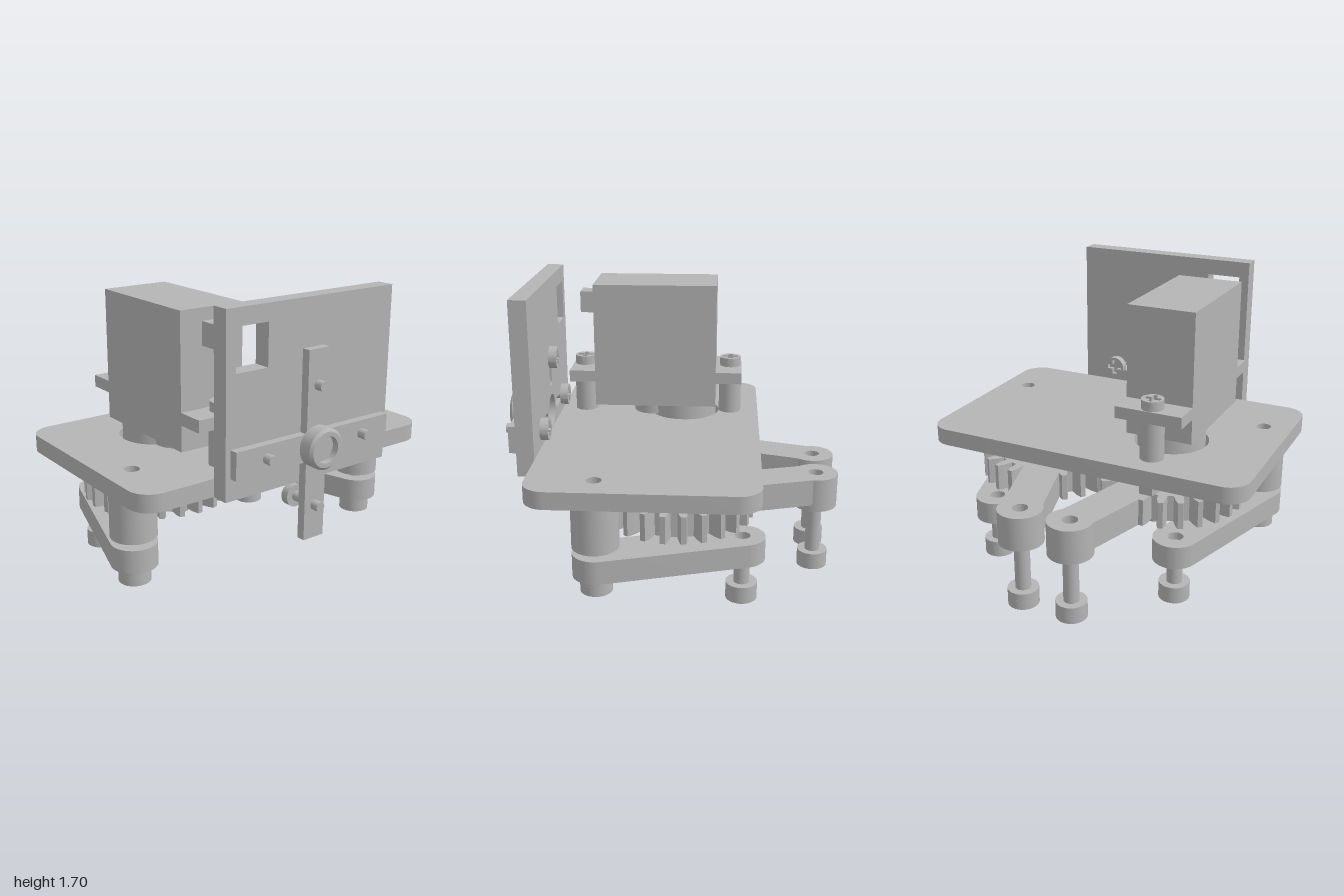
import * as THREE from 'three';
import { toCreasedNormals } from 'three/addons/utils/BufferGeometryUtils.js';

const grey = new THREE.MeshStandardMaterial({ color: 0xb4b4b4 });
grey.name = 'grey plastic';

function mesh(parent, name, geometry, x = 0, y = 0, z = 0) {
  const m = new THREE.Mesh(geometry, grey);
  m.name = name;
  m.position.set(x, y, z);
  parent.add(m);
  return m;
}

// box given by its limits
const box = (p, name, x0, x1, y0, y1, z0, z1) =>
  mesh(p, name, new THREE.BoxGeometry(x1 - x0, y1 - y0, z1 - z0), (x0 + x1) / 2, (y0 + y1) / 2, (z0 + z1) / 2);

const rod = (p, name, r, x, z, y0, y1) =>
  mesh(p, name, new THREE.CylinderGeometry(r, r, y1 - y0, 40), x, (y0 + y1) / 2, z);

const extrude = (shape, depth, crease = 0.5) =>
  toCreasedNormals(new THREE.ExtrudeGeometry(shape, { depth, bevelEnabled: false, curveSegments: 24 }), crease);

// shape drawn in (x, z), standing between two heights
const slab = (p, name, shape, y0, y1, crease) =>
  mesh(p, name, extrude(shape, y1 - y0, crease).rotateX(Math.PI / 2).translate(0, y1, 0));

const circle = (x, y, r) => new THREE.Shape().absarc(x, y, r, 0, Math.PI * 2);

// rounded bar from a to b
function capsule(ax, ay, bx, by, r) {
  const t = Math.atan2(by - ay, bx - ax);
  const s = new THREE.Shape();
  s.absarc(bx, by, r, t - Math.PI / 2, t + Math.PI / 2);
  s.absarc(ax, ay, r, t + Math.PI / 2, t + Math.PI * 1.5);
  s.closePath();
  return s;
}

function polygon(pts) {
  return new THREE.Shape(pts.map(([x, y]) => new THREE.Vector2(x, y)));
}

function withHoles(shape, ...holes) {
  shape.holes.push(...holes);
  return shape;
}

// drive recesses
const hexDrive = (r) => polygon([...Array(6)].map((_, i) => [r * Math.cos(i * Math.PI / 3), r * Math.sin(i * Math.PI / 3)]));
function crossDrive(r) {
  const w = r * 0.3;
  return polygon([[r, -w], [r, w], [w, w], [w, r], [-w, r], [-w, w], [-r, w], [-r, -w], [-w, -w], [-w, -r], [w, -r], [w, -w]]);
}

// screw with its head above the origin and its shank below
function screw(parent, name, r, h, shankR, length, drive, x, y, z) {
  const g = new THREE.Group();
  g.name = name;
  rod(g, 'headBase', r, 0, 0, 0, h * 0.4);
  slab(g, 'headRim', withHoles(circle(0, 0, r), drive), h * 0.4, h);
  if (length) rod(g, 'shank', shankR, 0, 0, -length, 0);
  g.position.set(x, y, z);
  parent.add(g);
  return g;
}

function gearShape(cx, cz, teeth, phase) {
  const pts = [];
  const pitch = Math.PI * 2 / teeth;
  for (let i = 0; i < teeth; i++) {
    for (const [o, r] of [[-0.3, 0.345], [-0.23, 0.4], [-0.13, 0.438], [0.13, 0.438], [0.23, 0.4], [0.3, 0.345]]) {
      const a = phase + (i + o) * pitch;
      pts.push([cx + r * Math.cos(a), cz + r * Math.sin(a)]);
    }
  }
  return polygon(pts);
}

export function createModel() {
  const model = new THREE.Group();
  model.name = 'servoGripper';
  const gx = -0.05, gz = 0.4, px = 0.37, pz = 0.83;

  // base plate
  const plate = new THREE.Shape();
  const c = 0.13, x0 = -0.52, x1 = 0.74;
  plate.absarc(x1 - c, 1 - c, c, 0, Math.PI / 2);
  plate.absarc(x0 + c, 1 - c, c, Math.PI / 2, Math.PI);
  plate.absarc(x0 + c, -1 + c, c, Math.PI, Math.PI * 1.5);
  plate.absarc(x1 - c, -1 + c, c, Math.PI * 1.5, Math.PI * 2);
  plate.closePath();
  withHoles(plate, circle(px, pz, 0.043), circle(px, -pz, 0.043), circle(gx, gz, 0.22));
  slab(model, 'basePlate', plate, 0.7, 0.8);

  // servo motor
  const servo = new THREE.Group();
  servo.name = 'servo';
  model.add(servo);
  box(servo, 'servoBody', -0.25, 0.5, 0.88, 1.64, 0.2, 0.6);
  box(servo, 'cablePlug', 0.5, 0.6, 1.44, 1.57, 0.34, 0.465);
  rod(servo, 'outputBoss', 0.2, gx, gz, 0.7, 0.88);
  rod(servo, 'gearBoss', 0.12, 0.15, gz, 0.8, 0.88);
  rod(servo, 'outputShaft', 0.115, gx, gz, 0.6, 0.7);
  box(servo, 'leftEar', 0.5, 0.66, 1.03, 1.1, 0.2, 0.6);
  box(servo, 'rightEar', -0.41, -0.25, 1.03, 1.1, 0.2, 0.6);
  for (const x of [-0.34, 0.585]) {
    rod(servo, 'servoPost', 0.07, x, gz, 0.8, 1.03);
    screw(servo, 'servoScrew', 0.065, 0.055, 0.03, 0, crossDrive(0.048), x, 1.1, gz);
  }

  // cross-shaped servo horn
  for (let i = 0; i < 4; i++) {
    const arm = slab(model, 'hornArm', polygon([[0, -0.1], [0.37, -0.04], [0.37, 0.04], [0, 0.1]]), 0.6, 0.65);
    arm.position.set(gx, 0, gz);
    arm.rotation.y = i * Math.PI / 2;
  }

  // mirrored fingers, gears and lower links
  for (const s of [1, -1]) {
    const teeth = 24;
    const phase = -s * Math.PI / 2 + (s < 0 ? Math.PI / teeth : 0);
    slab(model, 'gear', gearShape(gx, s * gz, teeth, phase), 0.44, 0.6, 0.2);

    const fx = -0.86, fz = s * 0.155;
    const hole = () => circle(fx, fz, 0.045);
    slab(model, 'fingerArm', withHoles(capsule(fx, fz, -0.29, s * 0.327, 0.115), hole()), 0.44, 0.6);
    slab(model, 'fingerTip', withHoles(circle(fx, fz, 0.13), hole()), 0.4, 0.6);
    screw(model, 'fingerBolt', 0.09, 0.1, 0.045, 0.44, hexDrive(0.045), fx, 0.1, fz).rotation.x = Math.PI;

    const lx = -0.425, lz = s * 0.59;
    slab(model, 'lowerLink', withHoles(capsule(lx, lz, px, s * pz, 0.13), circle(lx, lz, 0.045)), 0.25, 0.385);
    screw(model, 'linkBolt', 0.09, 0.1, 0.045, 0.24, hexDrive(0.045), lx, 0.1, lz).rotation.x = Math.PI;

    rod(model, 'pivotPost', 0.13, px, s * pz, 0.42, 0.7);
    screw(model, 'pivotBolt', 0.09, 0.095, 0.05, 0.2, hexDrive(0.045), px, 0.25, s * pz).rotation.x = Math.PI;
  }

  // screws fixing the driven gear to the horn
  for (const [dx, dz] of [[0, 0], [0.22, 0], [-0.22, 0], [0, 0.22], [0, -0.22]]) {
    screw(model, 'hornScrew', 0.062, 0.05, 0.03, 0, crossDrive(0.045), gx + dx, 0.44, gz + dz).rotation.x = Math.PI;
  }

  // idler gear bearing
  rod(model, 'idlerSpacer', 0.165, gx, -gz, 0.6, 0.7);
  rod(model, 'idlerWasher', 0.13, gx, -gz, 0.4, 0.44);
  screw(model, 'idlerBolt', 0.09, 0.1, 0.045, 0, hexDrive(0.045), gx, 0.4, -gz).rotation.x = Math.PI;

  // upright mounting plate, drawn in (-z, y)
  const cy = 0.905;
  const wall = polygon([[-0.565, 0.7], [0.565, 0.7], [0.565, 1.7], [-0.565, 1.7]]);
  withHoles(wall,
    polygon([[-0.505, 1.37], [-0.3, 1.37], [-0.3, 1.605], [-0.505, 1.605]]),
    circle(0, cy, 0.1),
    capsule(0, 1.09, 0, 1.25, 0.03),
    capsule(0.16, cy, 0.35, cy, 0.03),
    capsule(-0.35, cy, -0.16, cy, 0.03));
  mesh(model, 'mountingPlate', extrude(wall, 0.1).rotateY(Math.PI / 2), 0.74);

  // wrist horn on the outside of the plate
  box(model, 'wristBarUpright', 0.84, 0.89, 0.37, 1.435, -0.07, 0.07);
  box(model, 'wristBarLevel', 0.84, 0.888, 0.825, 0.98, -0.53, 0.535);
  const hubProfile = [[0, 0], [0.115, 0], [0.115, 0.075], [0.1, 0.09], [0.075, 0.09], [0.075, 0.05], [0, 0.05]];
  const hub = new THREE.LatheGeometry(hubProfile.map(([r, h]) => new THREE.Vector2(r, h)), 40);
  mesh(model, 'wristHub', toCreasedNormals(hub, 0.5).rotateZ(-Math.PI / 2), 0.888, cy, 0);
  for (const [y, z] of [[1.24, 0], [0.565, 0], [cy, 0.335], [cy, -0.335]]) {
    screw(model, 'wristScrew', 0.065, 0.048, 0.028, 0.2, crossDrive(0.048), 0.74, y, z).rotation.z = Math.PI / 2;
  }
  return model;
}
